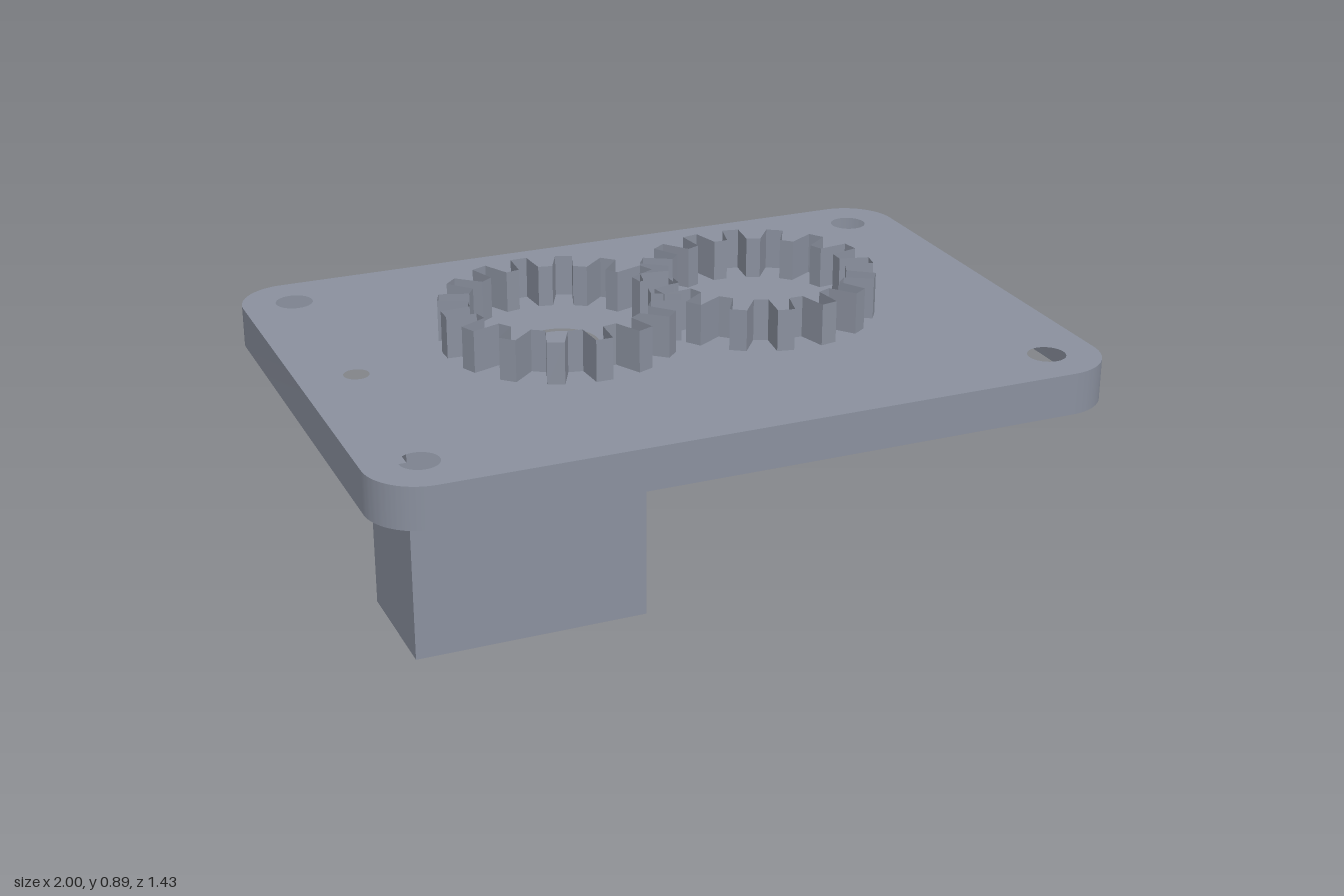
import * as THREE from 'three';
import { toCreasedNormals } from 'three/addons/utils/BufferGeometryUtils.js';

const grey = new THREE.MeshStandardMaterial({ color: 0x8a909e, side: THREE.DoubleSide });
grey.name = 'grey';

const GEAR_X = 0.286; // half the distance between the gear axes

function part(name, geometry, x = 0, y = 0, z = 0) {
  const mesh = new THREE.Mesh(geometry, grey);
  mesh.name = name;
  mesh.position.set(x, y, z);
  return mesh;
}

// Open upright wall that follows a closed counter-clockwise outline (shape y becomes -z)
function wall(points, height, crease) {
  const pos = [];
  points.forEach((a, i) => {
    const b = points[(i + 1) % points.length];
    if (a.distanceTo(b) < 1e-6) return;
    const a0 = [a.x, 0, -a.y], b0 = [b.x, 0, -b.y];
    const a1 = [a.x, height, -a.y], b1 = [b.x, height, -b.y];
    pos.push(...a0, ...b0, ...b1, ...a0, ...b1, ...a1);
  });
  const g = new THREE.BufferGeometry();
  g.setAttribute('position', new THREE.Float32BufferAttribute(pos, 3));
  g.computeVertexNormals();
  return toCreasedNormals(g, crease);
}

function roundedRect(hw, hd, r) {
  const s = new THREE.Shape();
  [[1, 1], [-1, 1], [-1, -1], [1, -1]].forEach(([sx, sy], i) => {
    s.absarc(sx * (hw - r), sy * (hd - r), r, i * Math.PI / 2, (i + 1) * Math.PI / 2, false);
  });
  s.closePath();
  return s;
}

// Trapezoidal spur teeth; phase is measured in tooth pitches
function gearOutline(teeth, root, tip, phase) {
  const pitch = 2 * Math.PI / teeth;
  const profile = [[-0.295, root], [-0.182, tip], [0.182, tip], [0.295, root]];
  const points = [];
  for (let i = 0; i < teeth; i++) {
    for (const [offset, r] of profile) {
      const a = (i + phase + offset) * pitch;
      points.push(new THREE.Vector2(r * Math.cos(a), r * Math.sin(a)));
    }
  }
  return points;
}

export function createModel() {
  const model = new THREE.Group();
  model.name = 'gearedMotorMount';

  // Mounting plate: a pierced top skin with a rim, open underneath
  const plate = new THREE.Group();
  plate.name = 'mountingPlate';
  const outline = roundedRect(1, 0.714, 0.143);
  const rim = outline.getPoints(16);
  const holes = [[-GEAR_X, 0, 0.104], [-0.845, 0, 0.034], [-0.046, 0, 0.034]];
  for (const x of [-0.857, 0.857]) for (const y of [-0.571, 0.571]) holes.push([x, y, 0.051]);
  for (const [x, y, r] of holes) {
    const hole = new THREE.Path();
    hole.absarc(x, y, r, 0, Math.PI * 2, true);
    outline.holes.push(hole);
  }
  const skin = new THREE.ShapeGeometry(outline, 16).rotateX(-Math.PI / 2);
  plate.add(part('plateTop', skin, 0, 0.76), part('plateRim', wall(rim, 0.114, 0.5), 0, 0.646));
  model.add(plate);

  // Meshing gear rings
  [['driveGear', -1, 0], ['drivenGear', 1, 0.5]].forEach(([name, side, phase]) => {
    const ring = wall(gearOutline(16, 0.241, 0.321, phase), 0.114, 0.1);
    model.add(part(name, ring, side * GEAR_X, 0.775));
  });

  // Motor: body, mounting ears and output shaft
  const motor = new THREE.Group();
  motor.name = 'motor';
  motor.add(part('motorBody', new THREE.BoxGeometry(0.66, 0.648, 0.356), -0.445, 0.324));
  for (const [name, side] of [['rightEar', -1], ['leftEar', 1]]) {
    const ear = new THREE.BoxGeometry(0.132, 0.071, 0.356);
    motor.add(part(name, ear, -0.445 + side * 0.396, 0.538));
  }
  motor.add(part('outputShaft', new THREE.CylinderGeometry(0.085, 0.085, 0.112, 32), -GEAR_X, 0.704));
  model.add(motor);

  return model;
}
